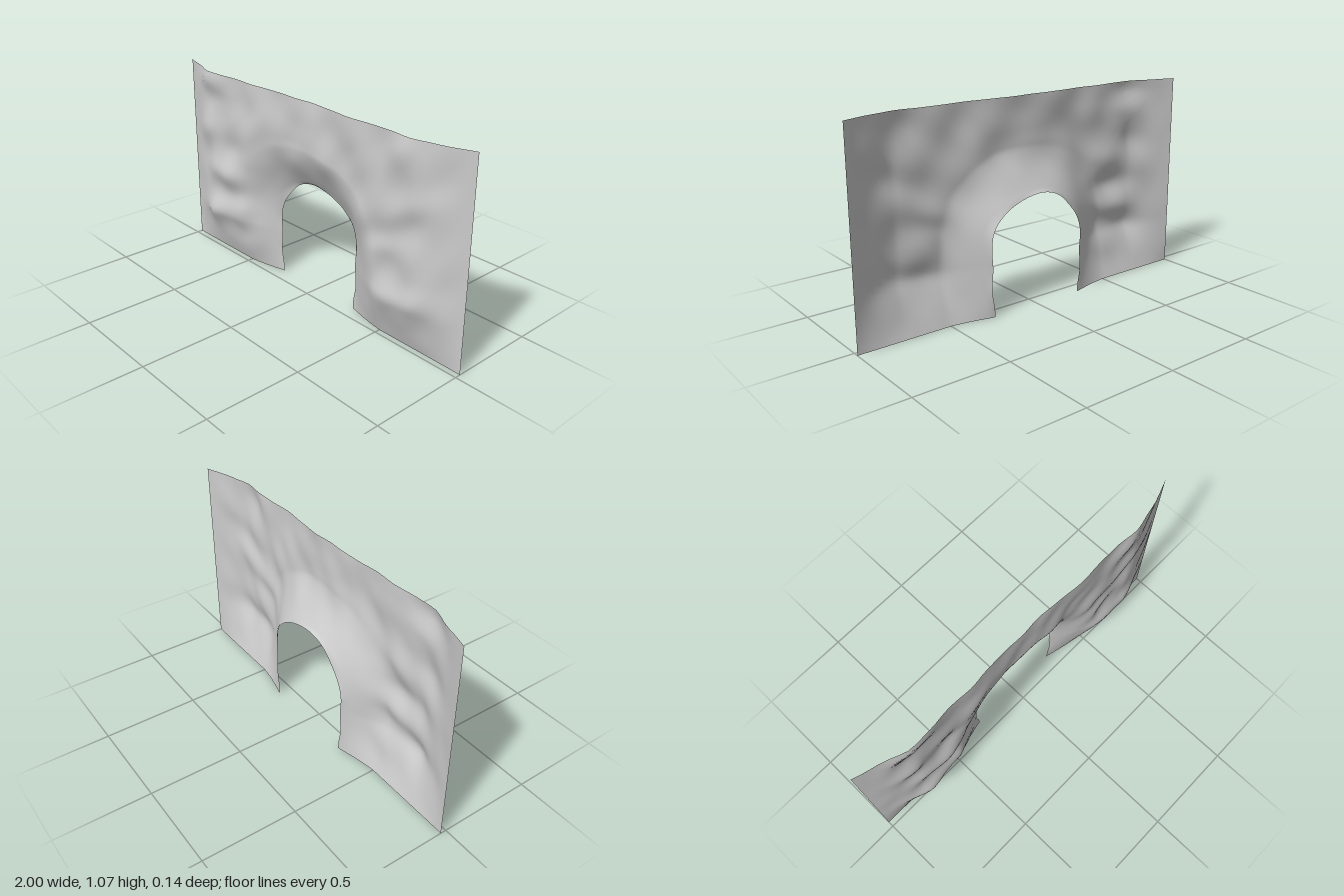
import * as THREE from 'three';

const HEIGHT = 1.066;
const clamp01 = (t) => Math.min(1, Math.max(0, t));
const easeOut = (t, power) => 1 - (1 - clamp01(t)) ** power;

// Worn outline of the opening, foot to foot over the crown
const archPoints = [
  [-0.27, 0], [-0.272, 0.04], [-0.285, 0.12], [-0.28, 0.24], [-0.284, 0.34], [-0.26, 0.42],
  [-0.2, 0.5], [-0.14, 0.555], [-0.08, 0.58], [-0.02, 0.588], [0.05, 0.58], [0.12, 0.56],
  [0.19, 0.525], [0.25, 0.47], [0.275, 0.42], [0.282, 0.34], [0.278, 0.25], [0.285, 0.14],
  [0.27, 0.04], [0.27, 0],
];

// Bulges and hollows: x, y, length, thickness, depth, tilt
const lumps = [
  [-0.6, 0.51, 0.18, 0.06, 0.016, 0], [-0.58, 0.39, 0.16, 0.06, -0.014, 0.1],
  [-0.68, 0.27, 0.16, 0.06, 0.014, 0.2], [-0.5, 0.17, 0.12, 0.06, -0.006, 0.3],
  [0.68, 0.27, 0.2, 0.06, 0.015, 0.2], [0.6, 0.4, 0.16, 0.07, -0.012, 0.4],
  [0.76, 0.75, 0.15, 0.06, 0.013, 0.5], [0.62, 0.6, 0.2, 0.07, -0.012, 0.6],
  [0.38, 0.98, 0.13, 0.07, 0.014, 0.8], [0.3, 0.86, 0.12, 0.06, -0.007, 0.8],
  [0.66, 1.0, 0.1, 0.06, 0.012, 0.9], [0.55, 0.5, 0.12, 0.05, 0.01, 0.3],
  [-0.76, 1.02, 0.1, 0.05, 0.014, 0.2], [-0.7, 0.92, 0.14, 0.05, -0.008, 0.2],
  [-0.36, 0.8, 0.12, 0.09, 0.016, 0.8], [-0.05, 0.87, 0.16, 0.06, 0.006, 0],
  [-0.37, 1.0, 0.1, 0.06, 0.014, 1.0], [-0.55, 0.96, 0.1, 0.05, 0.01, 0.8],
  [-0.75, 0.74, 0.14, 0.07, 0.012, 0.3], [-0.55, 0.66, 0.12, 0.06, -0.008, 0.3],
];

// Relief of the rock face
function depth(x, y) {
  const ax = Math.abs(x);
  const rise = easeOut((1 - ax) / 0.27, 1.35) * easeOut(y / 0.26, 1.25);
  let rock = 0.033 + 0.011 * THREE.MathUtils.smoothstep(ax, 0.15, 0.6);
  rock += 0.004 * Math.sin(13 * x - 9 * y + 1) + 0.003 * Math.sin(19 * x + 14 * y)
    + 0.003 * Math.sin(25 * y - 8 * x + 2) + 0.002 * Math.sin(34 * x - 21 * y);
  for (const [cx, cy, length, thickness, amount, tilt] of lumps) {
    const c = Math.cos(tilt), s = Math.sin(tilt);
    const along = ((x - cx) * c + (y - cy) * s) / length;
    const across = ((y - cy) * c - (x - cx) * s) / thickness;
    rock += amount * Math.exp(-along * along - across * across);
  }
  const wall = -0.03 + (rock + 0.03) * rise;
  // The wall sinks back towards the rim of the opening
  const reach = (ax ** 2.4 + Math.max(0, y - 0.3) ** 2.4) ** (1 / 2.4);
  const blend = easeOut((reach - 0.28) / 0.23, 1.4);
  return -0.075 + (wall + 0.075) * blend;
}

// Point on the outer frame: left side, top, right side
function framePoint(u) {
  if (u < 0.3) return [-1, HEIGHT * u / 0.3];
  if (u > 0.7) return [1, HEIGHT * (1 - u) / 0.3];
  return [-1 + (u - 0.3) * 5, HEIGHT];
}

export function createModel() {
  const group = new THREE.Group();
  const columns = 120, rows = 44;
  const curve = new THREE.CatmullRomCurve3(
    archPoints.map(([x, y]) => new THREE.Vector3(x, y, 0)), false, 'centripetal');

  // Rings spread from the opening out to the frame
  const positions = [], indices = [];
  for (let i = 0; i <= columns; i++) {
    const u = i / columns;
    const inner = curve.getPointAt(u);
    const [ox, oy] = framePoint(u);
    for (let j = 0; j <= rows; j++) {
      const v = j / rows;
      const x = inner.x + (ox - inner.x) * v;
      const y = Math.max(0, inner.y + (oy - inner.y) * v);
      positions.push(x, y, j === 0 ? -0.075 : depth(x, y));
      if (i < columns && j < rows) {
        const a = i * (rows + 1) + j, b = a + rows + 1;
        indices.push(a, b, a + 1, b, b + 1, a + 1);
      }
    }
  }
  const geometry = new THREE.BufferGeometry();
  geometry.setAttribute('position', new THREE.Float32BufferAttribute(positions, 3));
  geometry.setIndex(indices);
  geometry.computeVertexNormals();

  const wall = new THREE.Mesh(geometry, new THREE.MeshStandardMaterial({
    color: 0xcccccc, side: THREE.DoubleSide,
  }));
  wall.name = 'rockWallWithArch';
  group.add(wall);
  return group;
}
